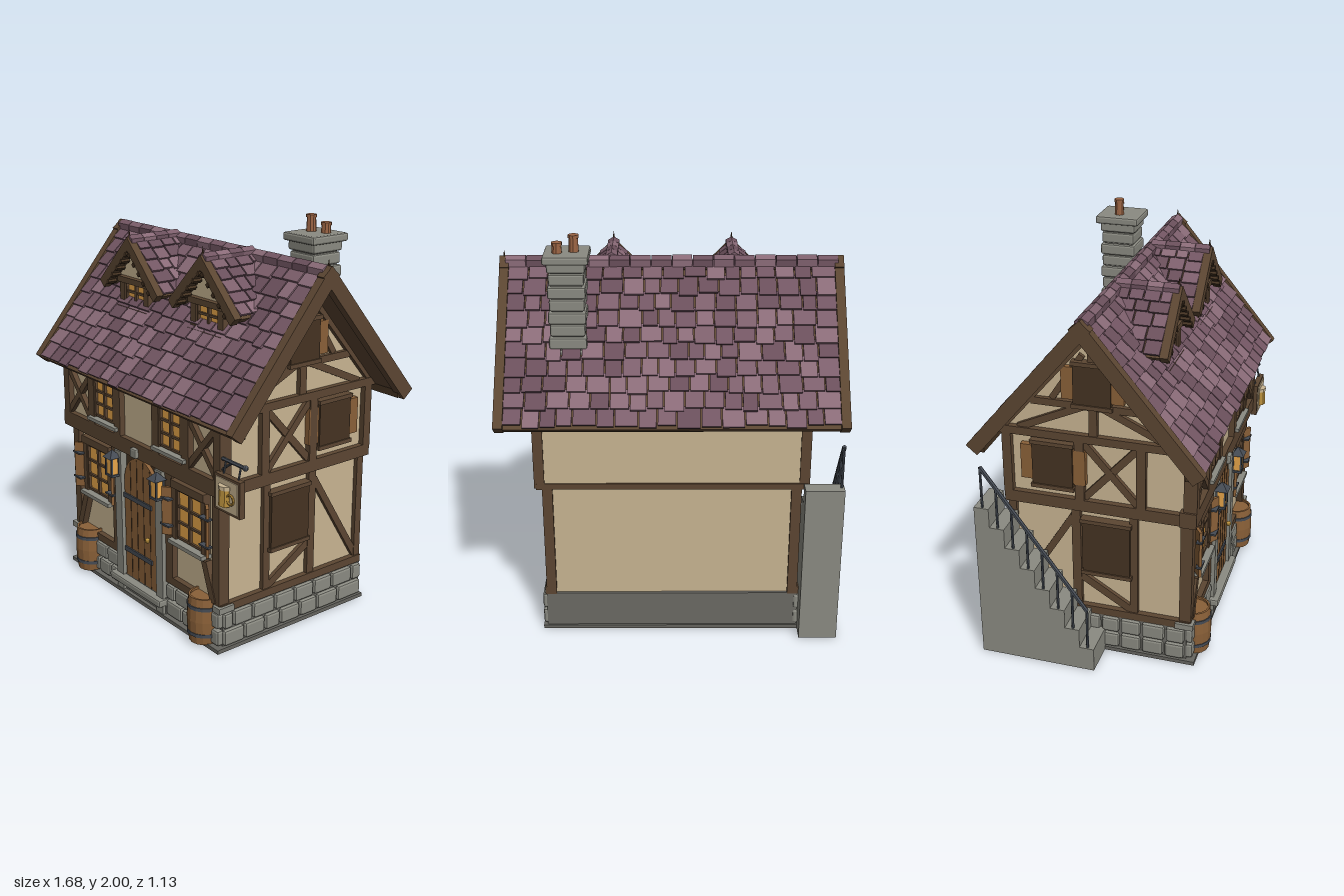
import * as THREE from 'three';
import { mergeGeometries } from 'three/addons/utils/BufferGeometryUtils.js';
import { RoundedBoxGeometry } from 'three/addons/geometries/RoundedBoxGeometry.js';

const C = { timber: 0x5c4632, dark: 0x453322, plaster: 0xc9b592, stone: 0x8b8b82, mortar: 0x6b6a64, slab: 0x66655f,
  glow: 0xe8a64a, door: 0x8a6038, iron: 0x454b54, pot: 0x9a6444, gold: 0xb98f3c };
const TILES = [0x735663, 0x7d5f6c, 0x6a4f5b, 0x8a6b78];
const mats = {};
const mat = c => mats[c] ??= new THREE.MeshStandardMaterial({ color: c, flatShading: true });
let seed = 7;
const rnd = () => (seed = (seed * 16807) % 2147483647) / 2147483647;

function add(parent, name, geo, color, x = 0, y = 0, z = 0) {
  const m = new THREE.Mesh(geo, mat(color));
  m.name = name;
  m.position.set(x, y, z);
  parent.add(m);
  return m;
}
function group(parent, name) {
  const g = new THREE.Group();
  g.name = name;
  parent.add(g);
  return g;
}
// Box given by its extents
const span = (p, name, x0, x1, y0, y1, z0, z1, c) => add(p, name,
  new THREE.BoxGeometry(Math.abs(x1 - x0), y1 - y0, z1 - z0), c, (x0 + x1) / 2, (y0 + y1) / 2, (z0 + z1) / 2);
// Timber between two points of a wall plane
function beam(p, name, x0, y0, x1, y1, z, w = 0.04, d = 0.05, c = C.timber) {
  const m = add(p, name, new THREE.BoxGeometry(Math.hypot(x1 - x0, y1 - y0), w, d), c, (x0 + x1) / 2, (y0 + y1) / 2, z);
  m.rotation.z = Math.atan2(y1 - y0, x1 - x0);
}
function rod(p, name, a, b, r, c = C.iron) {
  const A = new THREE.Vector3(...a), d = new THREE.Vector3(...b).sub(A);
  const m = add(p, name, new THREE.CylinderGeometry(r, r, d.length(), 6), c);
  m.position.copy(A).addScaledVector(d, 0.5);
  m.quaternion.setFromUnitVectors(new THREE.Vector3(0, 1, 0), d.normalize());
}
// Two staggered rows of rounded stones along a wall
function stones(p, x0, x1, z) {
  for (let r = 0; r < 2; r++) {
    for (let x = x0; x < x1 - 0.02;) {
      let w = 0.095 + rnd() * 0.05;
      if (r && x === x0) w *= 0.6;
      if (x + w > x1 - 0.05) w = x1 - x;
      add(p, 'baseStone', new RoundedBoxGeometry(w - 0.01, 0.08, 0.04, 1, 0.012), C.stone, x + w / 2, 0.065 + r * 0.09, z);
      x += w;
    }
  }
}
function glazing(p, x, y, w, h, z) {
  const g = group(p, 'window');
  span(g, 'glass', x - w / 2, x + w / 2, y - h / 2, y + h / 2, z - 0.02, z, C.glow);
  for (const s of [-1, 0, 1]) span(g, 'mullion', x + s * w / 2 - 0.008, x + s * w / 2 + 0.008, y - h / 2, y + h / 2, z, z + 0.014, C.timber);
  for (let i = 0; i < 4; i++) {
    const v = y - h / 2 + i * h / 3;
    span(g, 'glazingBar', x - w / 2, x + w / 2, v - 0.006, v + 0.006, z, z + 0.011, C.timber);
  }
}
// Shingle rows on a slope: local z runs downhill, y is outward
function shingles(p, matrix, rows, rowLen, range, width) {
  const sets = TILES.map(() => []);
  for (let r = 0; r < rows; r++) {
    const [a, b] = range((r + 0.5) * rowLen), n = Math.max(1, Math.round((b - a) / width));
    let x = a;
    for (let i = 0; i < n; i++) {
      const left = b - x, w = i === n - 1 ? left : left / (n - i) * (0.8 + rnd() * 0.4);
      const len = rowLen * (1.12 + rnd() * 0.22);
      const g = new THREE.BoxGeometry(w - 0.007, 0.012, len);
      g.rotateX(-0.13 - rnd() * 0.05);
      g.translate(x + w / 2, 0.014, r * rowLen + len / 2 - 0.012);
      sets[Math.floor(rnd() * TILES.length)].push(g.applyMatrix4(matrix));
      x += w;
    }
  }
  sets.forEach((s, i) => s.length && add(p, 'shingles', mergeGeometries(s), TILES[i]));
}
const slopeMatrix = (x, y, z, turn, tilt) => new THREE.Matrix4().makeTranslation(x, y, z)
  .multiply(new THREE.Matrix4().makeRotationY(turn)).multiply(new THREE.Matrix4().makeRotationX(tilt));
function slopeBox(p, name, matrix, w, h, l, x, y, z, c) {
  add(p, name, new THREE.BoxGeometry(w, h, l).translate(x, y, z).applyMatrix4(matrix), c);
}
function extrude(points, depth) {
  return new THREE.ExtrudeGeometry(new THREE.Shape(points.map(q => new THREE.Vector2(...q))), { depth, bevelEnabled: false });
}

function buildFront(root) {
  const f = group(root, 'frontFacade');
  stones(f, -0.64, -0.21, 0.465);
  stones(f, 0.21, 0.64, 0.465);
  span(f, 'jettyBeam', -0.68, 0.68, 0.8, 0.88, 0.42, 0.5, C.timber);
  span(f, 'upperTopBeam', -0.66, 0.66, 1.12, 1.16, 0.45, 0.49, C.timber);
  for (const s of [-1, 1]) {
    // Ground floor bay
    for (const [x, w] of [[0.605, 0.05], [0.235, 0.055]]) span(f, 'post', s * x - w / 2, s * x + w / 2, 0.2, 0.8, 0.43, 0.475, C.timber);
    span(f, 'sillBeam', s * 0.2, s * 0.63, 0.2, 0.24, 0.42, 0.475, C.timber);
    span(f, 'cornerStone', s * 0.6, s * 0.655, 0.205, 0.235, 0.4, 0.49, C.stone);
    const x = s * 0.4;
    glazing(f, x, 0.6, 0.2, 0.25, 0.46);
    for (const e of [-1, 1]) {
      span(f, 'windowPost', x + e * 0.115 - 0.015, x + e * 0.115 + 0.015, 0.46, 0.74, 0.43, 0.48, C.timber);
      const sh = add(f, 'shutter', new THREE.BoxGeometry(0.06, 0.25, 0.015), C.door, x + e * 0.155, 0.6, 0.485);
      sh.rotation.y = -e * 0.6;
      for (const y of [0.53, 0.67]) beam(f, 'shutterHinge', x + e * 0.12, y, x + e * 0.19, y, 0.495, 0.009, 0.03, C.iron);
    }
    span(f, 'lintel', x - 0.13, x + 0.13, 0.735, 0.775, 0.43, 0.49, C.timber);
    span(f, 'windowSill', x - 0.135, x + 0.135, 0.445, 0.465, 0.44, 0.505, C.stone);
    beam(f, 'brace', s * 0.59, 0.24, s * 0.52, 0.43, 0.455);
    // Upper floor bay
    for (const [px, w] of [[0.645, 0.05], [0.405, 0.055], [0.165, 0.055]]) span(f, 'upperPost', s * px - w / 2, s * px + w / 2, 0.88, 1.14, 0.45, 0.5, C.timber);
    beam(f, 'crossBrace', s * 0.42, 0.89, s * 0.63, 1.13, 0.472, 0.03);
    beam(f, 'crossBrace', s * 0.63, 0.89, s * 0.42, 1.13, 0.47, 0.03);
    glazing(f, s * 0.285, 1.03, 0.17, 0.2, 0.483);
    span(f, 'upperSill', s * 0.285 - 0.13, s * 0.285 + 0.13, 0.9, 0.918, 0.46, 0.52, C.stone);
    // Door jamb and lantern
    span(f, 'doorJamb', s * 0.148, s * 0.205, 0.02, 0.79, 0.43, 0.495, C.stone);
    const l = group(f, 'lantern');
    l.position.set(s * 0.195, 0.71, 0.515);
    add(l, 'lanternGlass', new THREE.BoxGeometry(0.05, 0.09, 0.04), C.glow);
    for (const a of [-1, 1]) for (const b of [-1, 1]) add(l, 'lanternBar', new THREE.BoxGeometry(0.009, 0.1, 0.009), C.iron, a * 0.026, 0, b * 0.021);
    add(l, 'lanternBase', new THREE.BoxGeometry(0.066, 0.012, 0.05), C.iron, 0, -0.05, 0);
    add(l, 'lanternCap', new THREE.ConeGeometry(0.052, 0.04, 4).rotateY(Math.PI / 4), C.iron, 0, 0.065, 0);
    // Barrel
    const b = group(f, 'barrel');
    b.position.set(s * 0.505, 0.015, 0.46);
    const profile = [[0, 0], [0.08, 0], [0.087, 0.06], [0.09, 0.12], [0.087, 0.18], [0.08, 0.24], [0.07, 0.24], [0.07, 0.228], [0, 0.228]];
    add(b, 'staves', new THREE.LatheGeometry(profile.map(q => new THREE.Vector2(...q)), 16), C.door);
    for (const y of [0.05, 0.19]) add(b, 'hoop', new THREE.CylinderGeometry(0.0895, 0.0895, 0.018, 16), C.iron, 0, y, 0);
  }
  // Arched door
  const d = group(f, 'door');
  const arch = new THREE.Shape().moveTo(-0.14, 0.1).lineTo(0.14, 0.1).lineTo(0.14, 0.64);
  arch.absellipse(0, 0.64, 0.14, 0.15, 0, Math.PI, false);
  add(d, 'doorLeaf', new THREE.ExtrudeGeometry(arch, { depth: 0.04, bevelEnabled: false, curveSegments: 10 }), C.door, 0, 0, 0.44);
  span(d, 'doorSurround', -0.15, 0.15, 0.1, 0.8, 0.42, 0.46, C.dark);
  for (const x of [-0.084, -0.028, 0.028, 0.084]) span(d, 'plankGap', x - 0.002, x + 0.002, 0.11, 0.63 + 0.15 * Math.sqrt(1 - (x / 0.14) ** 2), 0.47, 0.482, C.dark);
  for (const y of [0.26, 0.56]) span(d, 'strapHinge', -0.14, 0.1, y - 0.012, y + 0.012, 0.47, 0.488, C.iron);
  add(d, 'knob', new THREE.SphereGeometry(0.014, 8, 6), C.gold, 0.085, 0.385, 0.5);
  add(f, 'keystone', new RoundedBoxGeometry(0.05, 0.05, 0.04, 1, 0.008), C.stone, -0.005, 0.83, 0.5);
  span(f, 'doorBase', -0.21, 0.21, 0.02, 0.11, 0.4, 0.48, C.mortar);
  add(f, 'doorstep', new RoundedBoxGeometry(0.45, 0.04, 0.1, 1, 0.01), C.stone, -0.01, 0.085, 0.475);
}

// Gable-end timbering; u runs towards the back, mirrored by s
function buildSide(root, s) {
  const g = group(root, s > 0 ? 'rightwardGableWall' : 'leftwardGableWall');
  g.rotation.y = s * Math.PI / 2;
  stones(g, -0.46, 0.45, 0.635);
  const T = (u0, v0, u1, v1, z, w) => beam(g, 'sideTimber', s * u0, v0, s * u1, v1, z, w);
  T(-0.47, 0.22, 0.45, 0.22, 0.615, 0.04);
  T(-0.5, 0.83, 0.45, 0.83, 0.645, 0.06);
  T(-0.49, 1.185, 0.49, 1.185, 0.645, 0.04);
  for (const [u, w] of [[-0.445, 0.06], [-0.185, 0.04], [0.105, 0.045], [0.43, 0.04]]) T(u, 0.2, u, 0.8, 0.608, w);
  for (const [u, w] of [[-0.465, 0.06], [-0.23, 0.045], [0.07, 0.045], [0.43, 0.045]]) T(u, 0.85, u, 1.18, 0.645, w);
  T(-0.17, 0.25, 0.09, 0.41, 0.605, 0.04);
  T(0.12, 0.74, 0.42, 0.25, 0.605, 0.035);
  T(-0.21, 0.87, 0.05, 1.16, 0.637, 0.035);
  T(0.05, 0.87, -0.21, 1.16, 0.635, 0.035);
  T(0, 1.18, 0, 1.74, 0.64, 0.04);
  T(-0.3, 1.35, 0.3, 1.35, 0.637, 0.035);
  for (const e of [-1, 1]) {
    T(e * 0.47, 1.18, 0, 1.73, 0.64, 0.045);
    T(e * 0.37, 1.2, 0, 1.37, 0.635, 0.035);
    T(e * 0.2, 1.37, e * 0.05, 1.6, 0.633, 0.03);
  }
  // Shuttered openings
  for (const [u, v, w, h, z, side] of [[-0.05, 0.59, 0.24, 0.29, 0.625, 0], [0.2, 1.03, 0.2, 0.23, 0.655, 0.06], [0, 1.46, 0.18, 0.21, 0.65, 0.06]]) {
    add(g, 'shutteredWindow', new THREE.BoxGeometry(w, h, 0.05), C.dark, s * u, v, z);
    for (const e of [-1, 1]) {
      span(g, 'openingTrim', s * u - w / 2 - 0.008, s * u + w / 2 + 0.008, v + e * h / 2 - 0.01, v + e * h / 2 + 0.01, z - 0.02, z + 0.032, C.timber);
      if (side) add(g, 'openShutter', new THREE.BoxGeometry(side, h - 0.05, 0.03), C.door, s * u + e * (w + side) / 2, v, z);
    }
  }
}

function buildRoof(root) {
  const roof = group(root, 'roof'), tilt = Math.atan(1.2), L = 0.845;
  for (const turn of [0, Math.PI]) {
    const m = slopeMatrix(0, 1.8, 0.005, turn, tilt);
    slopeBox(roof, 'deck', m, 1.62, 0.035, L, 0, -0.018, L / 2, C.timber);
    shingles(roof, m, 10, 0.083, () => [-0.795, 0.795], 0.095);
    for (const s of [-1, 1]) slopeBox(roof, 'bargeBoard', m, 0.045, 0.07, L + 0.03, s * 0.815, -0.008, L / 2 - 0.012, C.timber);
  }
  for (const s of [-1, 1]) span(roof, 'eaveBoard', -0.82, 0.82, 1.13, 1.175, s * 0.495 - 0.018, s * 0.495 + 0.018, C.dark);
  for (let i = 0; i < 16; i++) {
    const r = add(roof, 'ridgeTile', new THREE.CylinderGeometry(0.036, 0.036, 0.097, 6).rotateZ(Math.PI / 2), TILES[i % 4], -0.76 + i * 0.1013, 1.805, 0.005);
    r.rotation.x = Math.PI / 6 + (i % 2) * 0.06;
  }
  add(roof, 'finial', new THREE.ConeGeometry(0.014, 0.09, 6), C.dark, 0.815, 1.825, 0.005);
  // Dormers
  for (const x of [-0.305, 0.295]) {
    const d = group(roof, 'dormer');
    d.position.x = x;
    span(d, 'dormerBody', -0.12, 0.12, 1.42, 1.62, 0.03, 0.25, C.plaster);
    add(d, 'dormerGable', extrude([[-0.2, 1.6], [0.2, 1.6], [0, 1.8]], 0.24), C.plaster, 0, 0, 0.02);
    glazing(d, 0, 1.53, 0.17, 0.13, 0.262);
    for (const s of [-1, 1]) {
      span(d, 'dormerPost', s * 0.085, s * 0.125, 1.44, 1.62, 0.22, 0.285, C.timber);
      const m = slopeMatrix(0, 1.82, 0, s * Math.PI / 2, Math.PI / 4);
      slopeBox(d, 'dormerDeck', m, 0.3, 0.025, 0.34, -s * 0.16, -0.013, 0.17, C.timber);
      shingles(d, m, 5, 0.066, t => {
        const back = Math.max(0, t * 0.707 / 1.2 - 0.03);
        return s > 0 ? [-0.285, -back] : [back, 0.285];
      }, 0.075);
      slopeBox(d, 'dormerBarge', m, 0.04, 0.05, 0.36, -s * 0.302, -0.008, 0.165, C.timber);
      for (let i = 1; i < 6; i++) slopeBox(d, 'bargeStud', m, 0.05, 0.02, 0.02, -s * 0.3, -0.036, i * 0.058, C.dark);
    }
    span(d, 'dormerLintel', -0.14, 0.14, 1.595, 1.625, 0.22, 0.29, C.timber);
    span(d, 'dormerSill', -0.13, 0.13, 1.455, 1.475, 0.24, 0.3, C.timber);
    for (let i = 0; i < 4; i++) add(d, 'dormerRidgeTile', new THREE.CylinderGeometry(0.033, 0.033, 0.074, 6).rotateX(Math.PI / 2), TILES[(i + 1) % 4], 0, 1.82, 0.045 + i * 0.076);
    add(d, 'dormerFinial', new THREE.ConeGeometry(0.014, 0.08, 6), C.dark, 0, 1.845, 0.305);
  }
  // Chimney
  const c = group(root, 'chimney');
  span(c, 'chimneyCore', 0.42, 0.565, 1.35, 1.88, -0.285, -0.135, C.mortar);
  for (let i = 0; i < 8; i++) {
    const w = 0.168 + (i % 2) * 0.012;
    add(c, 'chimneyCourse', new RoundedBoxGeometry(w, 0.057, w + 0.005, 1, 0.01), C.stone, 0.493, 1.43 + i * 0.062, -0.212);
  }
  add(c, 'chimneyCap', new RoundedBoxGeometry(0.215, 0.04, 0.225, 1, 0.01), C.stone, 0.493, 1.9, -0.213);
  for (const [x, z, h] of [[0.458, -0.217, 0.09], [0.535, -0.24, 0.06]]) {
    add(c, 'chimneyPot', new THREE.CylinderGeometry(0.021, 0.025, h, 10), C.pot, x, 1.91 + h / 2, z);
    add(c, 'potRim', new THREE.CylinderGeometry(0.026, 0.026, 0.014, 10), C.pot, x, 1.903 + h, z);
  }
}

function buildStairs(root) {
  const g = group(root, 'outsideStairs'), stepZ = i => 0.04 - i * 0.073;
  for (let i = 0; i < 8; i++) {
    const top = 0.125 + i * 0.101, z = stepZ(i);
    span(g, 'step', -0.83, -0.64, 0, top, z - 0.0745, z, C.stone);
    rod(g, 'baluster', [-0.817, top, z - 0.035], [-0.817, top + 0.215, z - 0.035], 0.007);
  }
  rod(g, 'handrail', [-0.817, 0.34, 0.005], [-0.817, 1.047, -0.506], 0.011);
}

function buildSign(root) {
  const g = group(root, 'hangingSign');
  rod(g, 'signArm', [0.64, 1, 0.485], [0.83, 1, 0.485], 0.009);
  rod(g, 'signStrut', [0.66, 0.94, 0.485], [0.74, 1, 0.485], 0.006);
  add(g, 'armBall', new THREE.SphereGeometry(0.014, 8, 6), C.iron, 0.83, 1, 0.485);
  for (const x of [0.695, 0.8]) rod(g, 'signChain', [x, 0.93, 0.5], [x, 1, 0.485], 0.005);
  span(g, 'signFrame', 0.655, 0.835, 0.765, 0.94, 0.49, 0.52, C.timber);
  span(g, 'signPanel', 0.668, 0.822, 0.778, 0.927, 0.485, 0.525, C.plaster);
  add(g, 'mug', new THREE.CylinderGeometry(0.034, 0.037, 0.08, 10), C.gold, 0.735, 0.845, 0.515);
  add(g, 'mugFoam', new THREE.CylinderGeometry(0.038, 0.038, 0.018, 10), C.plaster, 0.735, 0.893, 0.515);
  add(g, 'mugHandle', new THREE.TorusGeometry(0.023, 0.006, 6, 10), C.gold, 0.78, 0.845, 0.53);
}

export function createModel() {
  const root = new THREE.Group();
  root.name = 'timberFramedInn';
  span(root, 'groundSlab', -0.655, 0.655, 0, 0.02, -0.46, 0.5, C.slab);
  span(root, 'stoneBase', -0.635, 0.635, 0.02, 0.205, -0.45, 0.455, C.mortar);
  span(root, 'groundFloorWall', -0.61, 0.61, 0.2, 0.82, -0.435, 0.445, C.plaster);
  span(root, 'upperFloorWall', -0.64, 0.64, 0.81, 1.18, -0.445, 0.47, C.plaster);
  add(root, 'gableWalls', extrude([[-0.465, 1.17], [0.465, 1.17], [0, 1.735]], 1.28).rotateY(Math.PI / 2), C.plaster, -0.64, 0, 0);
  span(root, 'backBeam', -0.66, 0.66, 0.795, 0.825, -0.455, -0.42, C.timber);
  buildFront(root);
  buildSide(root, 1);
  buildSide(root, -1);
  buildRoof(root);
  buildStairs(root);
  buildSign(root);
  return root;
}
